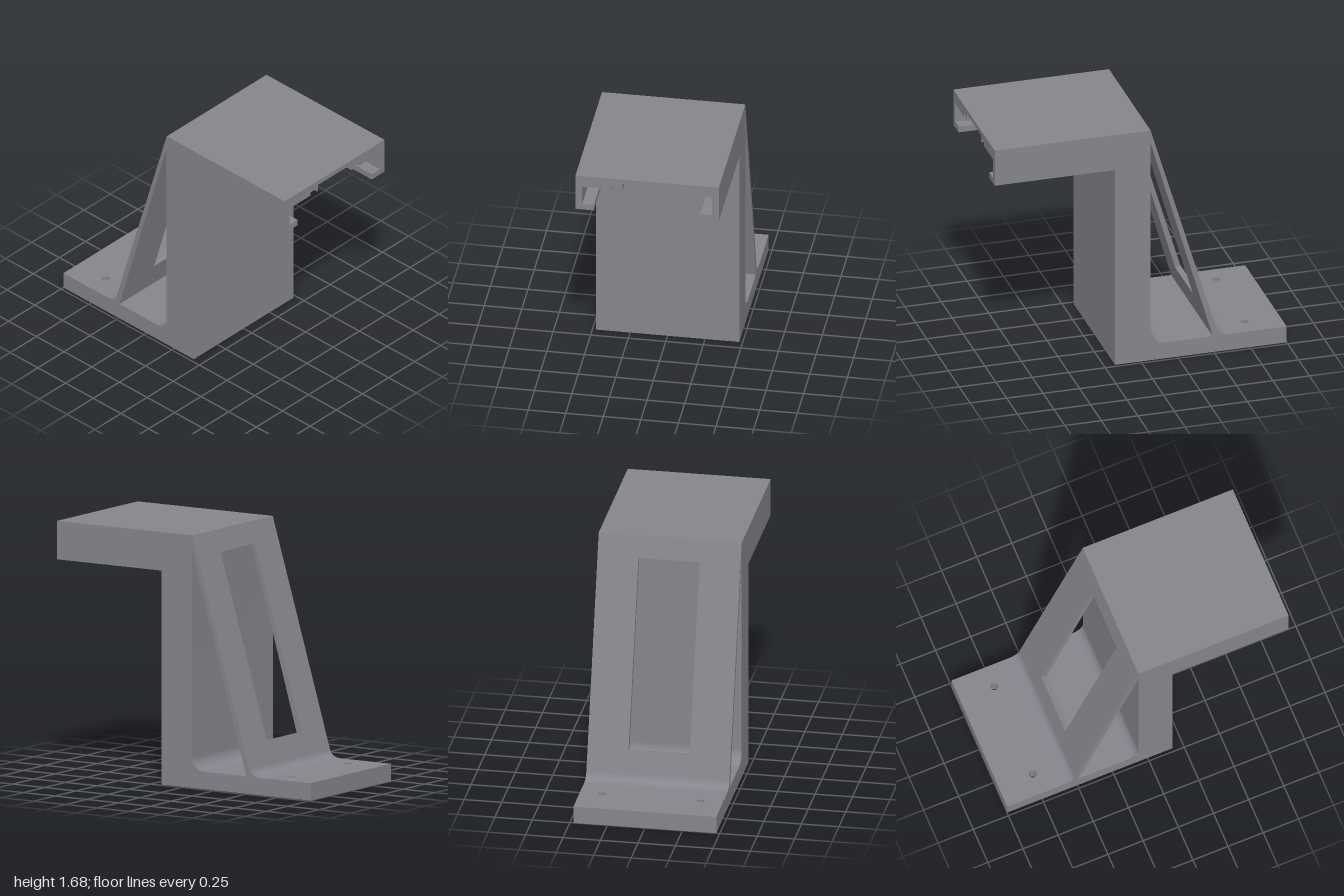
import * as THREE from 'three';
import { toCreasedNormals } from 'three/addons/utils/BufferGeometryUtils.js';

const HALF = 0.477; // half width of the bracket
const FOOT = 0.116; // thickness of the foot
const material = new THREE.MeshStandardMaterial({ color: 0x86858d });

function extrude(shape, depth) {
  return new THREE.ExtrudeGeometry(shape, { depth, bevelEnabled: false, curveSegments: 12 });
}

function part(name, geometry) {
  const mesh = new THREE.Mesh(toCreasedNormals(geometry, 0.6), material);
  mesh.name = name;
  return mesh;
}

function polygon(points) {
  return new THREE.Shape(points.map(([x, y]) => new THREE.Vector2(x, y)));
}

export function createModel() {
  const group = new THREE.Group();
  group.name = 'bracket';

  // Column and foot: side outline drawn as (-z, y), swept across the width
  const side = new THREE.Shape();
  side.moveTo(-0.177, 0);
  side.lineTo(0.605, 0);
  side.lineTo(0.605, FOOT);
  side.quadraticCurveTo(0.534, FOOT, 0.518, 0.17);
  side.lineTo(0.481, 0.159);
  side.lineTo(0.493, FOOT);
  side.lineTo(0.155, FOOT);
  side.absarc(0.155, FOOT + 0.088, 0.088, -Math.PI / 2, -Math.PI, true);
  side.lineTo(0.067, 1.68);
  side.lineTo(-0.177, 1.68);
  side.closePath();
  group.add(part('column', extrude(side, HALF * 2).rotateY(Math.PI / 2).translate(-HALF, 0, 0)));

  // Rear of the foot with two screw holes, drawn as (x, -z)
  const foot = polygon([[-HALF, 0.605], [HALF, 0.605], [HALF, 1], [-HALF, 1]]);
  for (const s of [-1, 1]) {
    foot.holes.push(new THREE.Path().absarc(s * 0.33, 0.757, 0.025, 0, Math.PI * 2, true));
  }
  group.add(part('footPlate', extrude(foot, FOOT).rotateX(-Math.PI / 2)));

  // Sloping brace with a rectangular window, thinning towards the top
  const run = 0.451;
  const rise = 1.51;
  const length = Math.hypot(run, rise);
  const brace = polygon([[-HALF, 0], [HALF, 0], [HALF, length], [-HALF, length]]);
  brace.holes.push(polygon([[-0.204, 0.155], [-0.204, 1.427], [0.204, 1.427], [0.204, 0.155]]));
  const braceGeometry = extrude(brace, 1);
  const position = braceGeometry.attributes.position;
  for (let i = 0; i < position.count; i++) {
    const thickness = THREE.MathUtils.lerp(0.0385, 0.026, position.getY(i) / length);
    position.setZ(i, position.getZ(i) * thickness);
  }
  const braceMesh = part('brace', braceGeometry);
  braceMesh.rotation.x = Math.atan2(run, rise);
  braceMesh.position.set(0, 0.17, -0.518);
  group.add(braceMesh);

  // Overhanging slide channel: half section from the centre out, then mirrored
  const inner = [
    [0.162, 1.647], [0.162, 1.598], [0.168, 1.598], [0.168, 1.623], [0.232, 1.623],
    [0.232, 1.598], [0.432, 1.598], [0.432, 1.466], [0.354, 1.466], [0.354, 1.424],
    [HALF, 1.424], [HALF, 1.68],
  ];
  const mirrored = inner.map(([x, y]) => [-x, y]).reverse();
  const channel = extrude(polygon([...inner, ...mirrored]), 0.823).translate(0, 0, 0.177);
  group.add(part('slideChannel', channel));

  return group;
}
